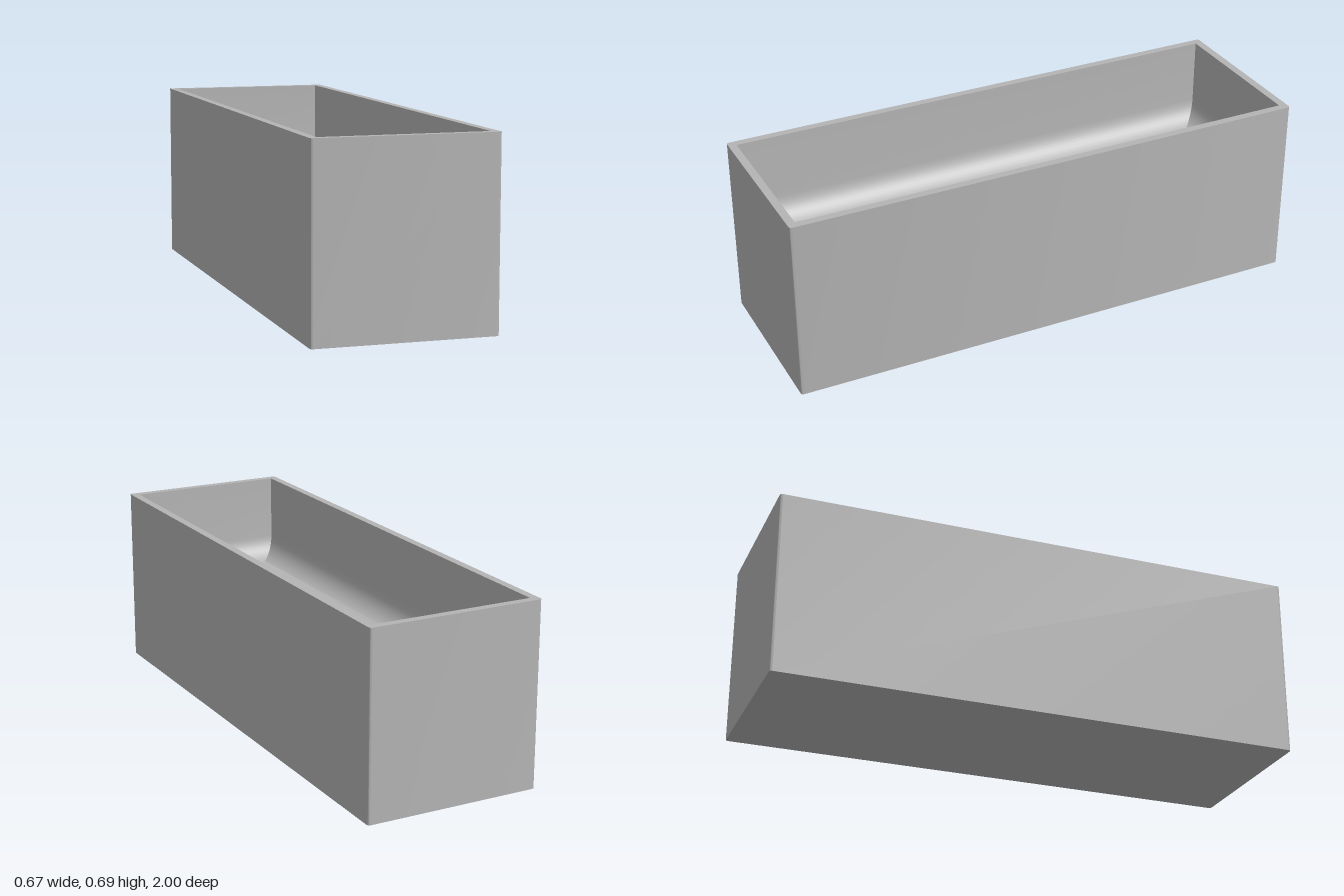
import * as THREE from 'three';
import { toCreasedNormals } from 'three/addons/utils/BufferGeometryUtils.js';

const W = 0.333, L = 1, H = 0.69;   // outer half width, half length, height
const WALL = 0.03, EDGE = 0.01;     // wall thickness, outer corner radius
const FILLET = 0.1, START = 0.44;   // floor fillet radius and the height where it begins

// Rectangle outline, counter-clockwise, with optionally rounded corners
function outline(w, l, r = 0, steps = 6) {
  const points = [];
  [[1, 1], [-1, 1], [-1, -1], [1, -1]].forEach(([sx, sy], corner) => {
    const count = r ? steps : 0;
    for (let i = 0; i <= count; i++) {
      const a = (corner + (count ? i / count : 0.5)) * Math.PI / 2;
      points.push(new THREE.Vector2(sx * (w - r) + r * Math.cos(a), sy * (l - r) + r * Math.sin(a)));
    }
  });
  return points;
}

// Skin between successive rings, each { points, y }
function loft(rings, closeEnd = false) {
  const n = rings[0].points.length, positions = [], index = [];
  rings.forEach(({ points, y }) => points.forEach(p => positions.push(p.x, y, -p.y)));
  for (let k = 0; k < rings.length - 1; k++) {
    for (let i = 0; i < n; i++) {
      const a = k * n + i, b = k * n + (i + 1) % n;
      index.push(a, b, b + n, a, b + n, a + n);
    }
  }
  if (closeEnd) {
    const e = (rings.length - 1) * n;
    for (let i = 1; i < n - 1; i++) index.push(e, e + i, e + i + 1);
  }
  const geometry = new THREE.BufferGeometry();
  geometry.setAttribute('position', new THREE.Float32BufferAttribute(positions, 3));
  geometry.setIndex(index);
  return toCreasedNormals(geometry, Math.PI / 6);
}

export function createModel() {
  const group = new THREE.Group();
  group.name = 'planterBox';
  const grey = new THREE.MeshStandardMaterial({ color: 0xb4b4b4 });
  grey.name = 'grey';
  const add = (name, geometry) => {
    const mesh = new THREE.Mesh(geometry, grey);
    mesh.name = name;
    group.add(mesh);
  };

  // Outer walls with slightly rounded upright edges
  const outer = outline(W, L, EDGE);
  add('outerWalls', loft([{ points: outer, y: 0 }, { points: outer, y: H }]));

  // Flat rim around the opening
  const iw = W - WALL, il = L - WALL;
  const rim = new THREE.Shape(outer);
  rim.holes.push(new THREE.Path(outline(iw, il)));
  add('rim', new THREE.ShapeGeometry(rim).rotateX(-Math.PI / 2).translate(0, H, 0));

  // Underside
  add('base', new THREE.ShapeGeometry(new THREE.Shape(outer)).rotateX(Math.PI / 2));

  // Basin: straight walls curving into the floor, with mitred corners
  const rings = [{ points: outline(iw, il), y: H }];
  const steps = 12;
  for (let i = 0; i <= steps; i++) {
    const a = (i / steps) * Math.PI / 2;
    const inset = FILLET * (1 - Math.cos(a));
    rings.push({ points: outline(iw - inset, il - inset), y: START - FILLET * Math.sin(a) });
  }
  add('basin', loft(rings, true));

  return group;
}
